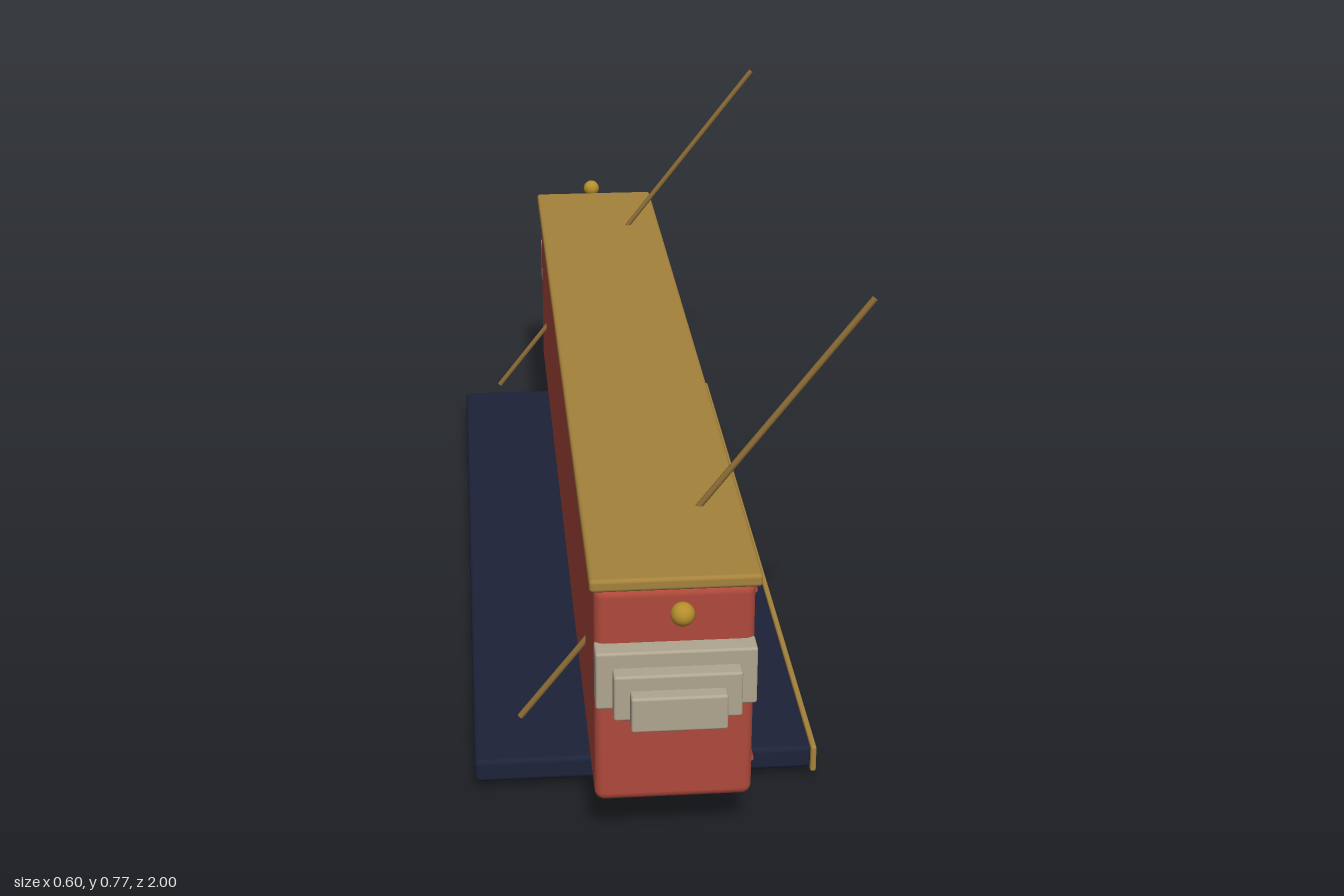
import * as THREE from 'three';
import { RoundedBoxGeometry } from 'three/addons/geometries/RoundedBoxGeometry.js';

const mat = (color) => new THREE.MeshStandardMaterial({ color });
const RED = mat(0xb04a3c), GOLD = mat(0xa5823c), STONE = mat(0xb0a690);
const NAVY = mat(0x1c2238), BRASS = mat(0xb58e2c), BRONZE = mat(0x8a6a35);

export function createModel() {
  const model = new THREE.Group();
  model.name = 'longCabin';

  const add = (name, geometry, material) => {
    const mesh = new THREE.Mesh(geometry, material);
    mesh.name = name;
    model.add(mesh);
    return mesh;
  };
  // Softened box given by its extents on each axis
  const block = (name, [x0, x1], [y0, y1], [z0, z1], radius, material) => {
    const mesh = add(name, new RoundedBoxGeometry(x1 - x0, y1 - y0, z1 - z0, 3, radius), material);
    mesh.position.set((x0 + x1) / 2, (y0 + y1) / 2, (z0 + z1) / 2);
    return mesh;
  };
  // Round bar between two points
  const bar = (name, a, b, radius, material) => {
    const dir = b.clone().sub(a);
    const mesh = add(name, new THREE.CylinderGeometry(radius, radius, dir.length(), 12), material);
    mesh.position.copy(a).add(b).multiplyScalar(0.5);
    mesh.quaternion.setFromUnitVectors(new THREE.Vector3(0, 1, 0), dir.normalize());
    return mesh;
  };

  // Main body and overhanging roof
  block('body', [-0.128, 0.103], [0.077, 0.428], [-0.89, 0.89], 0.015, RED);
  block('roof', [-0.135, 0.11], [0.43, 0.45], [-0.905, 0.905], 0.006, GOLD);

  // Side panel with a rail above and below
  block('sidePanel', [0.095, 0.105], [0.112, 0.395], [-0.845, 0.845], 0.001, STONE);
  for (const y of [0.11, 0.392]) {
    bar('panelRail', new THREE.Vector3(0.107, y, -0.84), new THREE.Vector3(0.107, y, 0.84), 0.005, RED);
  }

  // Stepped blocks, ball and slanted pole at each end
  const steps = [
    { x: [-0.128, 0.103], y: [0.252, 0.342], z: [0.88, 0.92] },
    { x: [-0.104, 0.079], y: [0.247, 0.318], z: [0.9, 0.945] },
    { x: [-0.081, 0.056], y: [0.24, 0.295], z: [0.925, 0.967] },
  ];
  for (const s of [1, -1]) {
    for (const { x, y, z } of steps) {
      const range = s > 0 ? z : [-z[1], -z[0]];
      block('endStep', x, y, range, 0.004, STONE);
    }
    const ball = add('endBall', new THREE.SphereGeometry(0.017, 24, 16), BRASS);
    ball.position.set(-0.012, 0.436, s * 0.983);
    bar('slantedPole', new THREE.Vector3(-0.23, 0.098, s * 0.675),
      new THREE.Vector3(0.297, 0.772, s * 0.675), 0.005, BRONZE);
  }

  // Base slab with front trim and cross ribs underneath
  block('baseSlab', [-0.303, 0.218], [0.019, 0.057], [-0.735, 0.735], 0.008, NAVY);
  block('baseTrim', [0.216, 0.225], [0.016, 0.06], [-0.74, 0.74], 0.003, GOLD);
  for (let i = 0; i < 6; i++) {
    const z = -0.612 + i * 0.245;
    block('baseRib', [-0.272, 0.187], [0.002, 0.021], [z - 0.006, z + 0.006], 0.003, NAVY);
  }
  return model;
}
